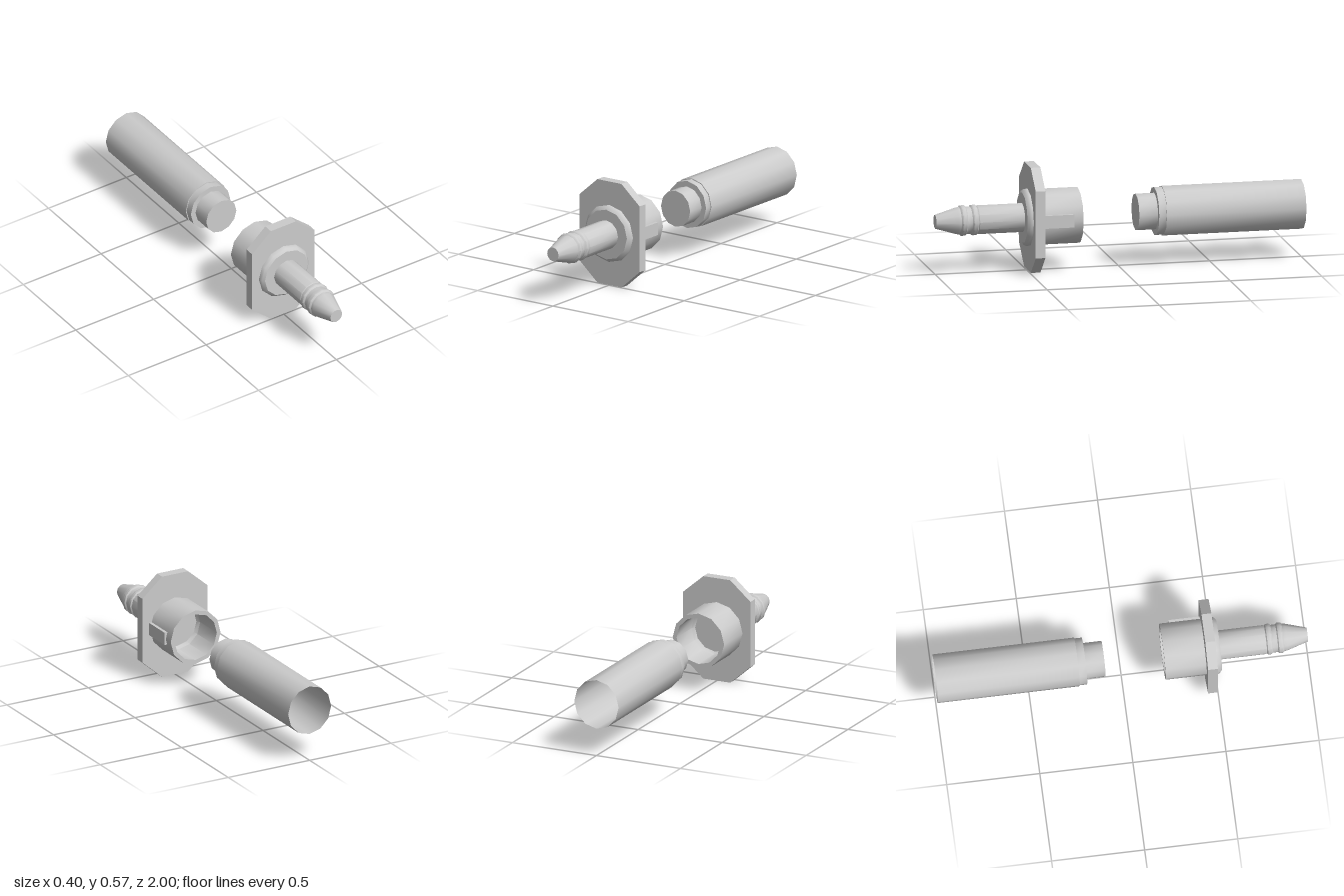
import * as THREE from 'three';
import { toCreasedNormals } from 'three/addons/utils/BufferGeometryUtils.js';

const AXIS_Y = 0.287; // height of the common axis
const SIDES = 12;

export function createModel() {
  const root = new THREE.Group();
  const solid = new THREE.MeshStandardMaterial({ color: 0xcccccc });
  const open = new THREE.MeshStandardMaterial({ color: 0xcccccc, side: THREE.DoubleSide });

  function add(parent, name, geometry, material = solid) {
    const mesh = new THREE.Mesh(geometry, material);
    mesh.name = name;
    parent.add(mesh);
    return mesh;
  }

  // Turned part along z from [radius, z] pairs, listed from back to front
  function turned(profile) {
    const points = profile.map(([r, z]) => new THREE.Vector2(r, z));
    const geometry = new THREE.LatheGeometry(points, SIDES).rotateX(Math.PI / 2);
    return toCreasedNormals(geometry, 0.7);
  }

  // Front assembly: flange, socket and barbed nozzle
  const connector = new THREE.Group();
  connector.name = 'connector';
  connector.position.y = AXIS_Y;
  root.add(connector);

  // Flange: upright plate with clipped corners
  const outline = [[0.08, -0.287], [0.2, -0.182], [0.2, 0.183], [0.08, 0.287],
    [-0.08, 0.287], [-0.2, 0.183], [-0.2, -0.182], [-0.08, -0.287]];
  const shape = new THREE.Shape(outline.map(([x, y]) => new THREE.Vector2(x, y)));
  const plate = new THREE.ExtrudeGeometry(shape, { depth: 0.053, bevelEnabled: false });
  add(connector, 'flange', plate.translate(0, 0, 0.442));

  // Socket: cup open towards the back
  add(connector, 'socket', turned([
    [0, 0.42], [0.118, 0.42], [0.13, 0.4], [0.13, 0.222], [0.153, 0.222], [0.153, 0.45],
  ]), open);

  // Locating key on the left side of the socket
  const key = new THREE.BoxGeometry(0.022, 0.07, 0.175).translate(0.149, 0.003, 0.3625);
  add(connector, 'socketKey', key);

  // Bevelled collar in front of the flange
  add(connector, 'collar', turned([
    [0.157, 0.49], [0.157, 0.502], [0.15, 0.515], [0.138, 0.525], [0, 0.525],
  ]));

  // Nozzle: shaft, two rounded barbs and a tapered tip
  const nozzle = [[0.079, 0.52], [0.079, 0.77]];
  for (const z of [0.775, 0.835]) {
    nozzle.push([0.076, z], [0.083, z + 0.006], [0.084, z + 0.016],
      [0.083, z + 0.026], [0.075, z + 0.034]);
  }
  nozzle.push([0.075, 0.873], [0.073, 0.885], [0.038, 1], [0, 1]);
  add(connector, 'nozzle', turned(nozzle));

  // Rear assembly: separate hollow cartridge
  const cartridge = new THREE.Group();
  cartridge.name = 'cartridge';
  cartridge.position.y = AXIS_Y;
  cartridge.scale.x = 0.97;
  root.add(cartridge);

  add(cartridge, 'cartridgeSleeve', turned([[0.136, -1], [0.136, -0.238], [0.13, -0.238]]), open);
  add(cartridge, 'cartridgeShoulder', turned([[0.131, -0.238], [0.131, -0.197], [0.1, -0.197]]), open);
  add(cartridge, 'cartridgePlug', turned([[0.1, -0.197], [0.1, -0.095], [0, -0.095]]), open);

  return root;
}
